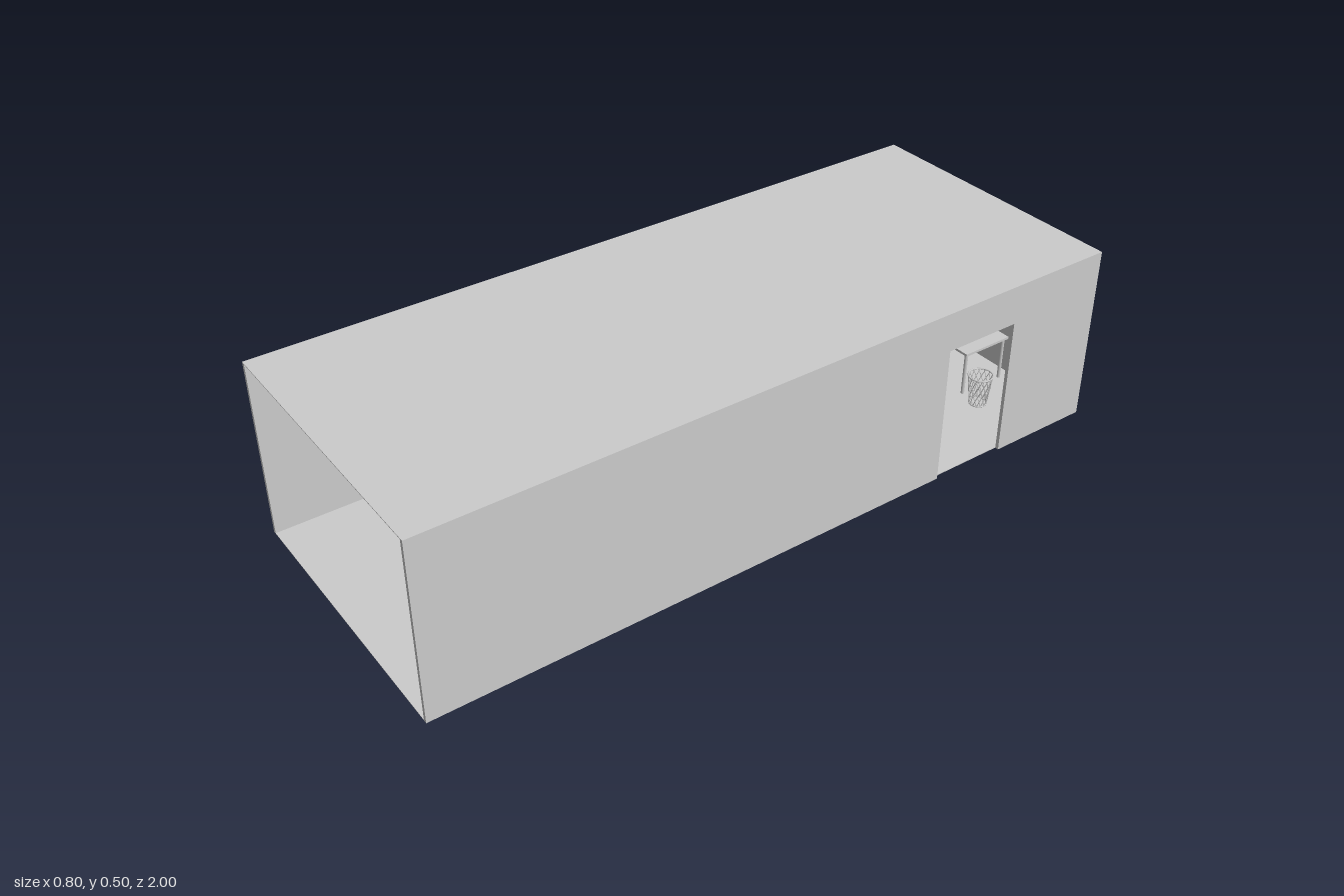
import * as THREE from 'three';

const mat = new THREE.MeshStandardMaterial({ color: 0xcccccc });
const thin = new THREE.MeshStandardMaterial({ color: 0xcccccc, side: THREE.DoubleSide });

function add(parent, name, geo, x = 0, y = 0, z = 0, material = mat) {
  const mesh = new THREE.Mesh(geo, material);
  mesh.name = name;
  mesh.position.set(x, y, z);
  parent.add(mesh);
  return mesh;
}

// Box given by its minimum and maximum corners
function block(parent, name, [x0, y0, z0], [x1, y1, z1]) {
  return add(parent, name, new THREE.BoxGeometry(x1 - x0, y1 - y0, z1 - z0),
    (x0 + x1) / 2, (y0 + y1) / 2, (z0 + z1) / 2);
}

// Long wall with a doorway cut up from the floor
function doorWall(parent) {
  const outline = [[-1, 0], [0.48, 0], [0.48, 0.39], [0.70, 0.39], [0.70, 0], [1, 0], [1, 0.498], [-1, 0.498]];
  const shape = new THREE.Shape(outline.map(([a, b]) => new THREE.Vector2(a, b)));
  const geo = new THREE.ExtrudeGeometry(shape, { depth: 0.01, bevelEnabled: false });
  geo.rotateY(Math.PI / 2);
  add(parent, 'leftWallWithDoorway', geo, 0.39, 0, 0);
}

// Desk with four legs
function desk() {
  const g = new THREE.Group();
  g.name = 'desk';
  block(g, 'deskTop', [-0.16, 0.13, -0.96], [0.16, 0.137, -0.80]);
  for (const x of [-0.15, 0.15]) {
    for (const z of [-0.95, -0.81]) {
      add(g, 'deskLeg', new THREE.CylinderGeometry(0.005, 0.005, 0.129, 10), x, 0.0655, z);
    }
  }
  return g;
}

// Tapered wire basket: crossing wires between two rims
function wasteBasket() {
  const g = new THREE.Group();
  g.name = 'wasteBasket';
  const h = 0.09, rBottom = 0.024, rTop = 0.034, wires = 14;
  for (const side of [-1, 1]) {
    for (let i = 0; i < wires; i++) {
      const pts = [];
      for (let k = 0; k <= 6; k++) {
        const t = k / 6, a = (i / wires) * Math.PI * 2 + side * t * 1.2;
        const r = THREE.MathUtils.lerp(rBottom, rTop, t);
        pts.push(new THREE.Vector3(r * Math.cos(a), t * h, r * Math.sin(a)));
      }
      add(g, 'basketWire', new THREE.TubeGeometry(new THREE.CatmullRomCurve3(pts), 10, 0.0012, 4), 0, 0.003, 0);
    }
  }
  for (const [r, y] of [[rTop, h + 0.003], [rBottom, 0.004]]) {
    add(g, 'basketRim', new THREE.TorusGeometry(r, 0.002, 6, 28).rotateX(Math.PI / 2), 0, y, 0);
  }
  add(g, 'basketBase', new THREE.CircleGeometry(rBottom, 28).rotateX(-Math.PI / 2), 0, 0.004, 0, thin);
  g.position.set(0.21, 0, -0.81);
  return g;
}

export function createModel() {
  const model = new THREE.Group();
  model.name = 'cabinBuilding';

  // Shell, open at the front
  block(model, 'floor', [-0.39, 0, -0.99], [0.39, 0.002, 1]);
  block(model, 'roof', [-0.4, 0.498, -1], [0.4, 0.5, 1]);
  block(model, 'rightWall', [-0.4, 0, -1], [-0.39, 0.498, 1]);
  block(model, 'backWall', [-0.39, 0, -1], [0.39, 0.498, -0.99]);
  block(model, 'partitionWall', [-0.39, 0.002, 0.42], [0.39, 0.498, 0.435]);
  doorWall(model);

  // Ceiling light panels
  for (const z of [-0.045, -0.587]) {
    block(model, 'ceilingLight', [-0.1, 0.488, z - 0.2], [0.1, 0.498, z + 0.2]);
  }

  // Furnishings of the rear room
  model.add(desk(), wasteBasket());
  add(model, 'wallDisc', new THREE.CylinderGeometry(0.05, 0.05, 0.01, 32).rotateZ(Math.PI / 2), -0.385, 0.28, -0.436);

  return model;
}
